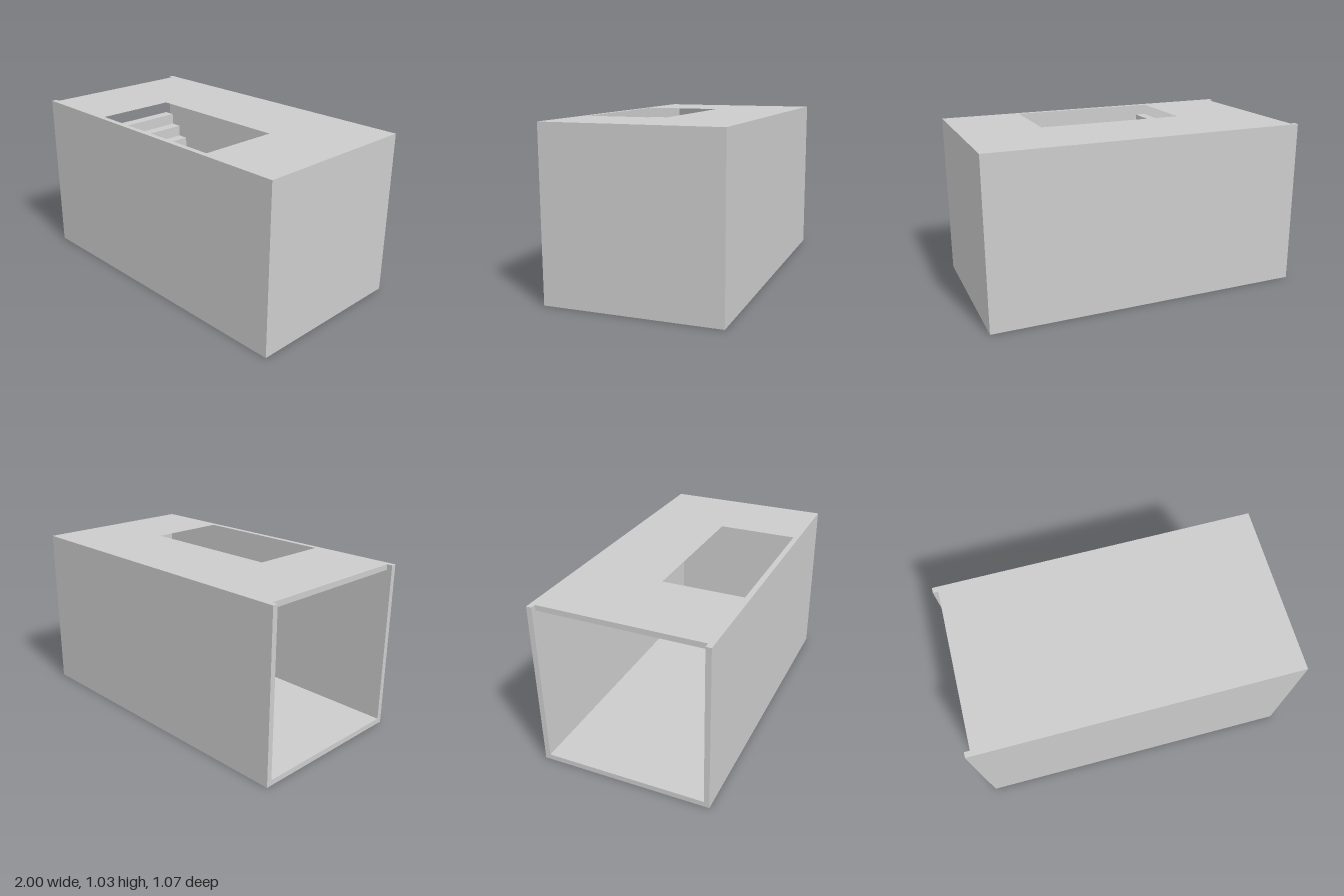
import * as THREE from 'three';

const U = 1 / 30; // wall thickness, the base module of the building
const W = 1, D = 16 * U, H = 31 * U; // half length, half depth, height

export function createModel() {
  const model = new THREE.Group();
  const mat = new THREE.MeshStandardMaterial({ color: 0xcccccc, flatShading: true });

  // Box given by its minimum and maximum corners
  const block = (name, [x0, y0, z0], [x1, y1, z1], parent = model) => {
    const mesh = new THREE.Mesh(new THREE.BoxGeometry(x1 - x0, y1 - y0, z1 - z0), mat);
    mesh.position.set((x0 + x1) / 2, (y0 + y1) / 2, (z0 + z1) / 2);
    mesh.name = name;
    parent.add(mesh);
  };

  // Floor and the three walls; the -x end stays open
  const inner = D - U;
  block('floor', [-W, 0, -inner], [W, U, inner]);
  block('frontWall', [-W, 0, inner], [W, H, D]);
  block('backWall', [-W, 0, -D], [W, H, -inner]);
  block('endWall', [W - U, U, -inner], [W, H, inner]);

  // Roof slab, set back at the open end, with the stairwell cut out
  const wellX0 = -0.437, wellX1 = 0.497;
  const roof = new THREE.Shape();
  const rect = (path, x0, z0, x1, z1) =>
    path.moveTo(x0, -z0).lineTo(x1, -z0).lineTo(x1, -z1).lineTo(x0, -z1).closePath();
  rect(roof, -W + U, -inner, W - U, inner);
  const well = new THREE.Path();
  rect(well, wellX0, 0, wellX1, inner - 0.0005);
  roof.holes.push(well);
  const roofGeo = new THREE.ExtrudeGeometry(roof, { depth: U, bevelEnabled: false });
  roofGeo.rotateX(-Math.PI / 2);
  const roofMesh = new THREE.Mesh(roofGeo, mat);
  roofMesh.position.y = H - U;
  roofMesh.name = 'roof';
  model.add(roofMesh);

  // Open-underside staircase going down towards +x
  const stairs = new THREE.Group();
  stairs.name = 'staircase';
  model.add(stairs);
  const steps = 14, rise = 2 * U;
  for (let i = 0; i < steps; i++) {
    const x = wellX0 + i * rise;
    const top = H - 2 * U - i * rise;
    block('step', [x, top - rise, 0], [x + rise, top, inner], stairs);
  }

  return model;
}
